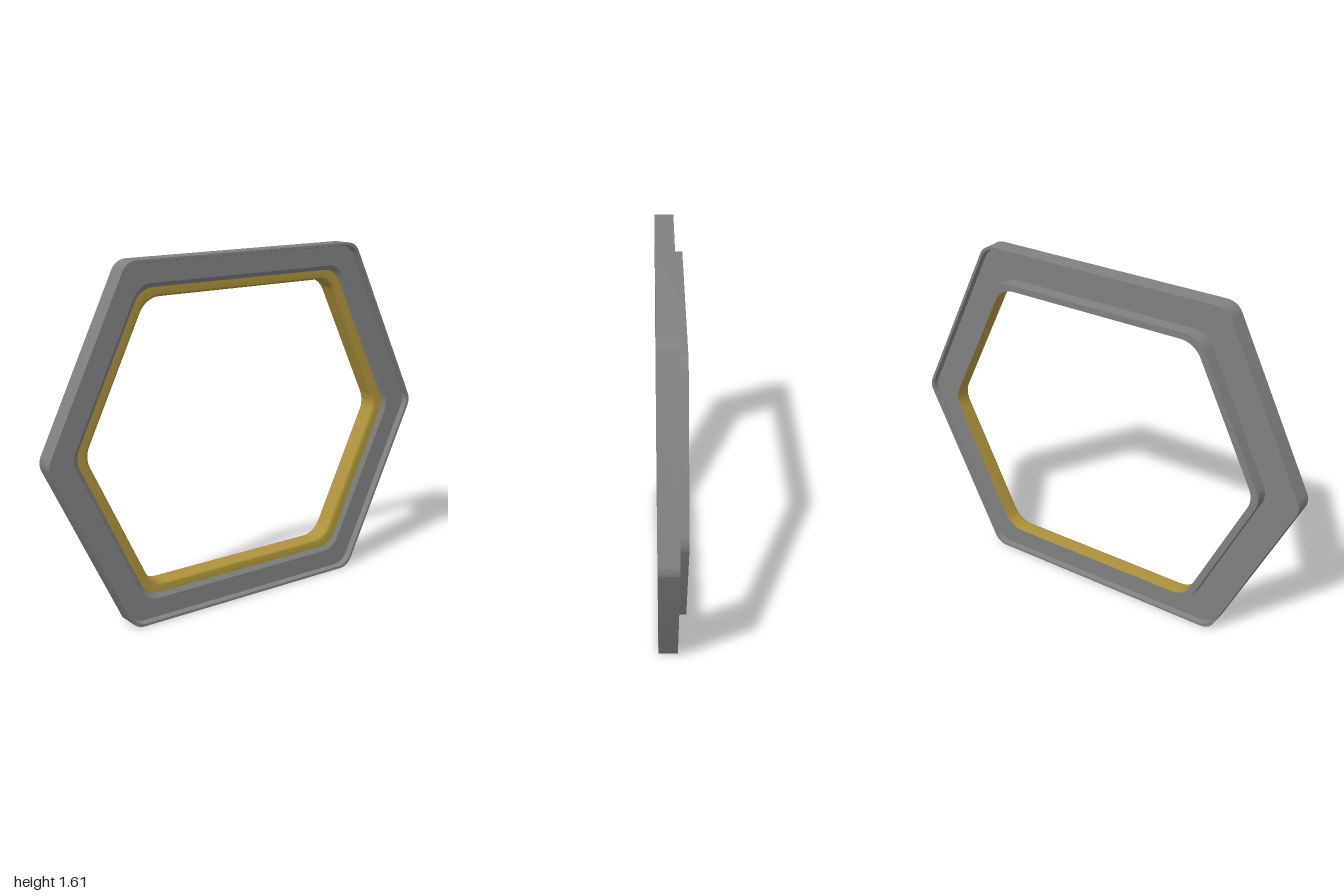
import * as THREE from 'three';
import { toCreasedNormals } from 'three/addons/utils/BufferGeometryUtils.js';

const HALF_HEIGHT = 0.803;
const SLOPE = 0.486; // sideways run of the slanted edges per unit of height
const ARC_STEPS = 8;
const GREY = 0x808080;
const GOLD = 0xae933c;

// Rounded hexagon outline, counter-clockwise, with its side tips at x = +-a
function hexOutline(a) {
  const r = 0.075 + (1 - a) * 0.17;
  const b = HALF_HEIGHT - (1 - a) * 0.813;
  const tip = a + 0.11 * r;
  const c = tip - SLOPE * b;
  const t = Math.atan(SLOPE);
  const P = Math.PI;
  const corners = [[tip, 0], [c, b], [-c, b], [-tip, 0], [-c, -b], [c, -b]];
  // direction each edge faces; corner k sits between entries k and k + 1
  const facing = [-t, t, P / 2, P - t, P + t, 1.5 * P, 2 * P - t];
  const points = [];
  corners.forEach(([x, y], k) => {
    const mid = (facing[k] + facing[k + 1]) / 2;
    const reach = r / Math.cos((facing[k + 1] - facing[k]) / 2);
    const cx = x - reach * Math.cos(mid);
    const cy = y - reach * Math.sin(mid);
    for (let s = 0; s <= ARC_STEPS; s++) {
      const angle = THREE.MathUtils.lerp(facing[k], facing[k + 1], s / ARC_STEPS);
      points.push([cx + r * Math.cos(angle), cy + r * Math.sin(angle)]);
    }
  });
  return points;
}

// Skin a profile of [tip x, z] pairs around the hexagon
function hexRing(name, profile, color) {
  const positions = [];
  const index = [];
  const n = 6 * (ARC_STEPS + 1);
  profile.forEach(([a, z], j) => {
    hexOutline(a).forEach(([x, y]) => positions.push(x, y + HALF_HEIGHT, z));
    if (j === 0) return;
    for (let i = 0; i < n; i++) {
      const k = (i + 1) % n;
      const lo = (j - 1) * n;
      const hi = j * n;
      index.push(lo + i, lo + k, hi + k, lo + i, hi + k, hi + i);
    }
  });
  const geometry = new THREE.BufferGeometry();
  geometry.setAttribute('position', new THREE.Float32BufferAttribute(positions, 3));
  geometry.setIndex(index);
  const mesh = new THREE.Mesh(
    toCreasedNormals(geometry, 0.45),
    new THREE.MeshStandardMaterial({ color })
  );
  mesh.name = name;
  return mesh;
}

export function createModel() {
  const group = new THREE.Group();
  group.name = 'hexagonalFrame';

  // Main frame: thin raised rim around faces that are sunk front and back
  group.add(hexRing('frame', [
    [0.832, 0], [0.98, 0], [0.986, -0.024], [1, -0.024],
    [1, 0.063], [0.986, 0.063], [0.98, 0.036],
    [0.874, 0.036], [0.85, 0.02],
  ], GREY));

  // Thin lip stepping out behind the frame
  group.add(hexRing('backLip', [
    [0.797, -0.063], [0.832, -0.063], [0.832, 0],
  ], GREY));

  // Lining: flat front flange, rounded edge, straight wall to the back
  const lining = [[0.85, 0.02]];
  for (let s = 0; s <= 4; s++) {
    const angle = (s / 4) * Math.PI / 2;
    lining.push([0.812 - 0.015 * Math.sin(angle), 0.005 + 0.015 * Math.cos(angle)]);
  }
  lining.push([0.797, -0.063]);
  group.add(hexRing('innerLining', lining, GOLD));

  return group;
}
